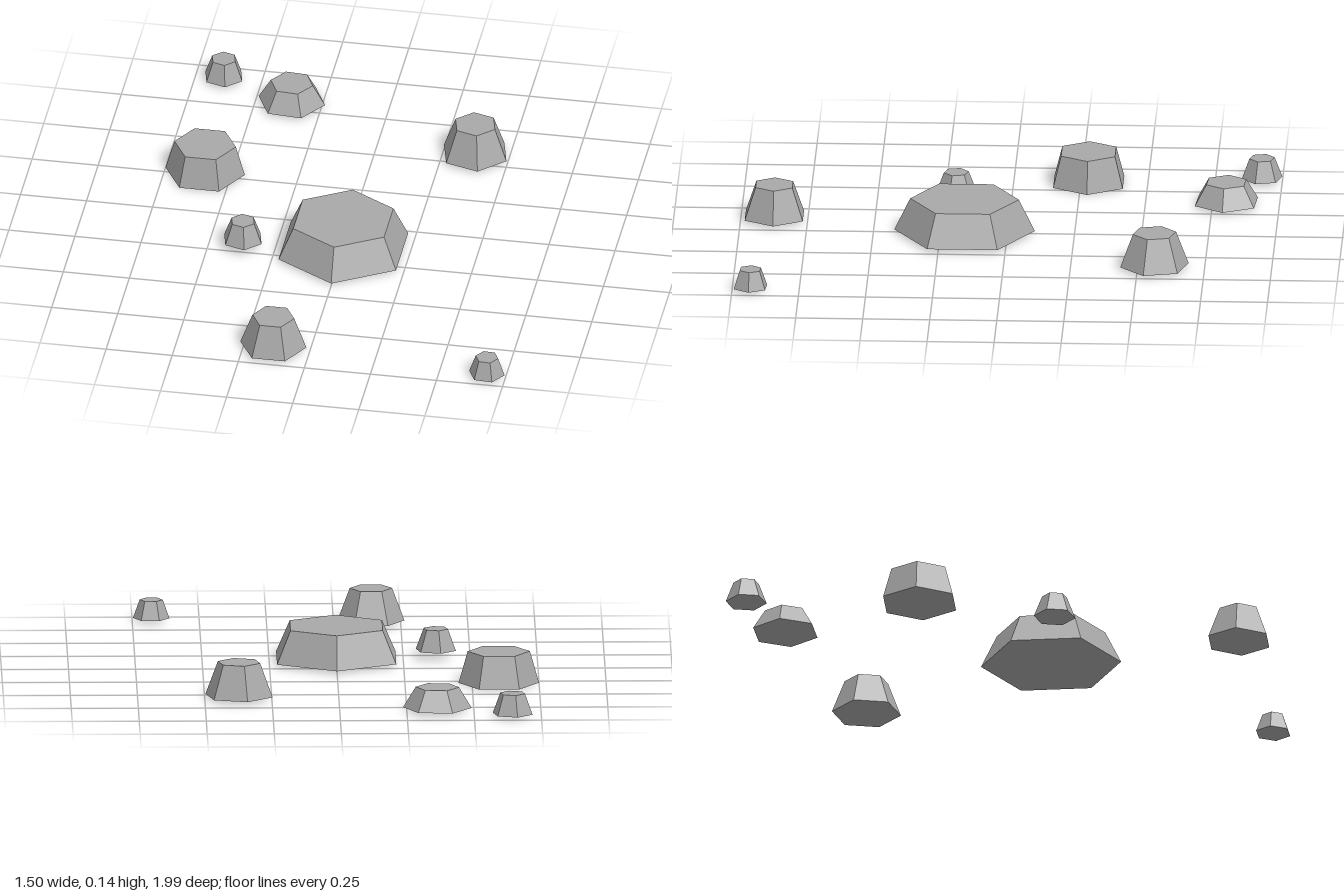
import * as THREE from 'three';

// Each stone: name, centre x and z, base and top height, base and top radius, turn in degrees
const STONES = [
  ['centreStone', 0, 0.16, 0.01, 0.133, 0.26, 0.201, 0],
  ['leftStone', -0.6, -0.279, 0, 0.12, 0.15, 0.116, 30],
  ['backStone', -0.364, -0.802, 0.01, 0.088, 0.128, 0.081, 25.5],
  ['backPebble', -0.643, -0.924, 0.01, 0.088, 0.077, 0.048, 13],
  ['rightStone', 0.372, -0.563, 0.01, 0.137, 0.13, 0.082, 13.5],
  ['middlePebble', -0.372, 0.206, 0.03, 0.111, 0.078, 0.047, 13],
  ['frontStone', -0.139, 0.875, 0.01, 0.133, 0.125, 0.079, 30],
  ['frontPebble', 0.679, 0.932, 0.01, 0.08, 0.068, 0.043, 26],
];

export function createModel() {
  const group = new THREE.Group();
  group.name = 'steppingStones';
  const stone = new THREE.MeshStandardMaterial({ color: 0xa8a8a8 });
  stone.name = 'stone grey';
  stone.flatShading = true;

  // Six-sided tapered stones
  for (const [name, x, z, y0, y1, base, top, turn] of STONES) {
    const mesh = new THREE.Mesh(new THREE.CylinderGeometry(top, base, y1 - y0, 6), stone);
    mesh.name = name;
    mesh.position.set(x, (y0 + y1) / 2, z);
    mesh.rotation.y = THREE.MathUtils.degToRad(turn);
    group.add(mesh);
  }
  // The centre stone is slightly longer than wide
  group.getObjectByName('centreStone').scale.set(0.987, 1, 1.008);
  return group;
}
